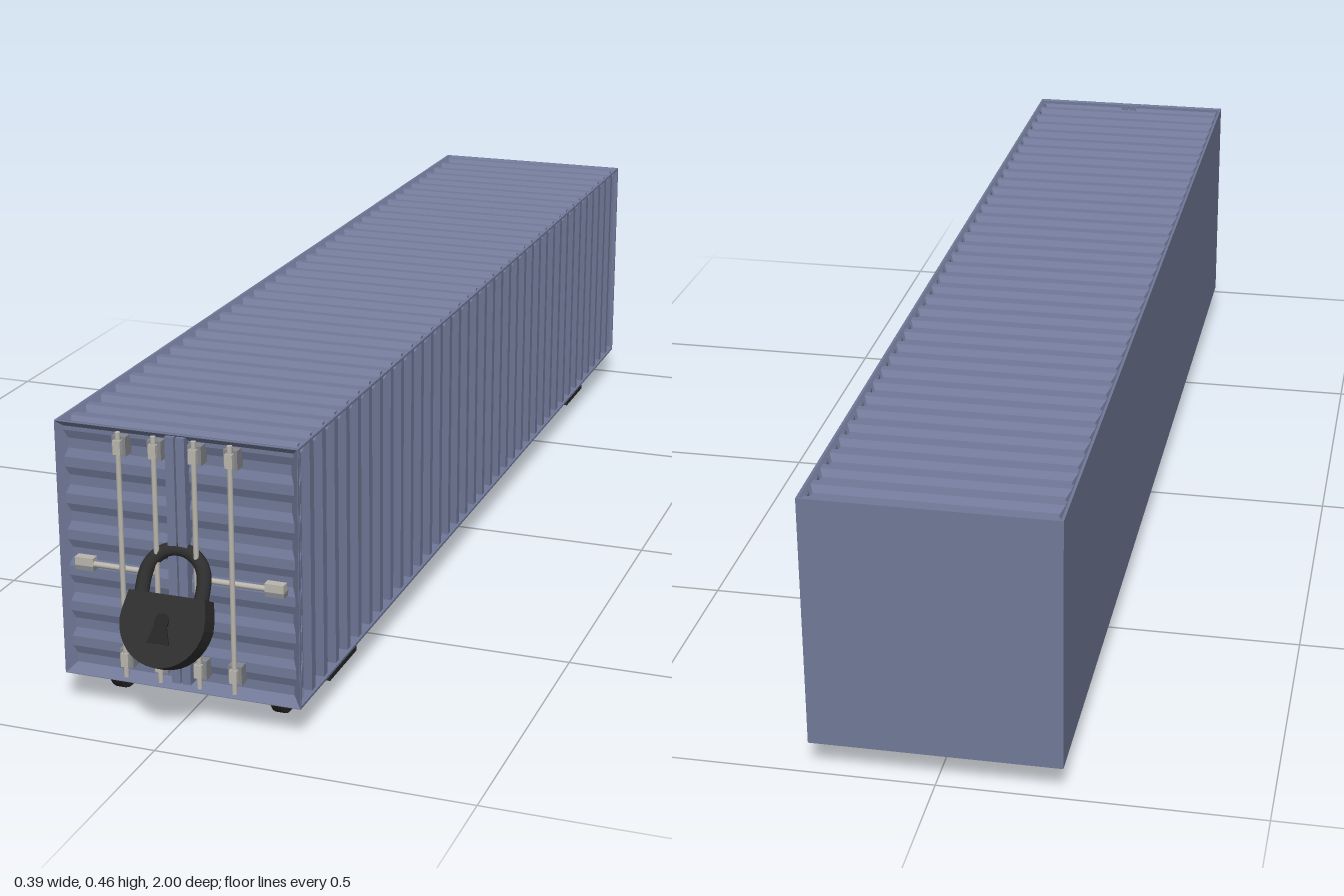
import * as THREE from 'three';

const mat = (name, color, side = THREE.FrontSide) => {
  const m = new THREE.MeshStandardMaterial({ color, side });
  m.name = name;
  return m;
};

export function createModel() {
  const root = new THREE.Group();
  root.name = 'lockedContainerWagon';
  const blue = mat('container blue', 0x717998, THREE.DoubleSide);
  const steel = mat('rod steel', 0xb9b6ae);
  const bracketGrey = mat('bracket grey', 0x85878c);
  const black = mat('undercarriage black', 0x262626);
  const lockBlack = mat('padlock black', 0x2e2e2e);

  const add = (parent, name, geo, material, x = 0, y = 0, z = 0) => {
    const m = new THREE.Mesh(geo, material);
    m.name = name;
    m.position.set(x, y, z);
    parent.add(m);
    return m;
  };
  const box = (parent, name, material, x0, x1, y0, y1, z0, z1) =>
    add(parent, name, new THREE.BoxGeometry(x1 - x0, y1 - y0, z1 - z0), material,
      (x0 + x1) / 2, (y0 + y1) / 2, (z0 + z1) / 2);

  // Container extents
  const X = 0.194, Y0 = 0.052, Y1 = 0.463, Z0 = -1, Z1 = 0.9;
  const H = Y1 - Y0, L = Z1 - Z0, YM = (Y0 + Y1) / 2, ZM = (Z0 + Z1) / 2;

  // Rectangular lip that slopes inwards to a recess, facing +z
  function frameGeometry(w, h, lip, bevel, depth) {
    const loop = (inset, z) => [[-1, -1], [1, -1], [1, 1], [-1, 1]]
      .map(([sx, sy]) => [sx * (w / 2 - inset), sy * (h / 2 - inset), z]);
    const loops = [loop(0, 0), loop(lip, 0), loop(lip + bevel, -depth)];
    const pos = [];
    for (let i = 0; i < 2; i++) {
      for (let k = 0; k < 4; k++) {
        const a = loops[i][k], b = loops[i][(k + 1) % 4];
        const c = loops[i + 1][(k + 1) % 4], d = loops[i + 1][k];
        pos.push(...a, ...b, ...c, ...a, ...c, ...d);
      }
    }
    const g = new THREE.BufferGeometry();
    g.setAttribute('position', new THREE.Float32BufferAttribute(pos, 3));
    g.computeVertexNormals();
    return g;
  }

  // Sheet with trapezoid waves running up local y
  function waveGeometry(w, h, n, crest, trough) {
    const g = new THREE.PlaneGeometry(w, h, 1, 4 * n);
    const p = g.attributes.position, steps = [0, 0.27, 0.5, 0.77];
    for (let i = 0; i < p.count; i++) {
      const row = Math.floor(i / 2), k = row % 4;
      p.setY(i, h / 2 - (Math.floor(row / 4) + steps[k]) * h / n);
      p.setZ(i, k < 2 ? -crest : -trough);
    }
    const flat = g.toNonIndexed();
    flat.computeVertexNormals();
    return flat;
  }

  // Recessed, corrugated face of the container
  function corrugatedFace(name, w, h, n, lip, bevel, depth, crest) {
    const g = new THREE.Group();
    g.name = name;
    add(g, name + 'Frame', frameGeometry(w, h, lip, bevel, depth), blue);
    add(g, name + 'Sheet', waveGeometry(w - 2 * lip, h - 2 * lip, n, crest, depth), blue);
    root.add(g);
    return g;
  }

  const roof = corrugatedFace('roof', 2 * X, L, 37, 0.004, 0.009, 0.012, 0.004);
  roof.rotation.x = -Math.PI / 2;
  roof.position.set(0, Y1, ZM);

  const side = corrugatedFace('corrugatedSide', H, L, 37, 0.004, 0.008, 0.012, 0.003);
  side.quaternion.setFromRotationMatrix(new THREE.Matrix4().makeBasis(
    new THREE.Vector3(0, 1, 0), new THREE.Vector3(0, 0, 1), new THREE.Vector3(1, 0, 0)));
  side.position.set(X, YM, ZM);

  const doors = corrugatedFace('doors', 2 * X, H, 7, 0.001, 0.014, 0.014, 0.009);
  doors.position.set(0, YM, Z1);

  // Plain faces
  add(root, 'plainSide', new THREE.PlaneGeometry(L, H), blue, -X, YM, ZM).rotation.y = -Math.PI / 2;
  add(root, 'backWall', new THREE.PlaneGeometry(2 * X, H), blue, 0, YM, Z0).rotation.y = Math.PI;
  add(root, 'floor', new THREE.PlaneGeometry(2 * X, L), blue, 0, Y0, ZM).rotation.x = Math.PI / 2;

  // Door hardware, mirrored about the seam
  const C = 0.003;
  for (const s of [-1, 1]) {
    const cx = C + s * 0.0085;
    box(root, 'doorPost', blue, cx - 0.007, cx + 0.007, 0.066, 0.46, 0.886, 0.905);
    for (const d of [0.032, 0.089]) {
      const x = C + s * d;
      add(root, 'lockingRod', new THREE.CylinderGeometry(0.0042, 0.0042, 0.394, 10), steel, x, 0.263, 0.909);
      for (const y of [0.095, 0.437]) {
        box(root, 'rodBracket', bracketGrey, x - 0.011, x + 0.011, y - 0.015, y + 0.015, 0.886, 0.907);
        box(root, 'rodClamp', steel, x - 0.006, x + 0.006, y - 0.011, y + 0.011, 0.903, 0.915);
      }
    }
    add(root, 'handleBar', new THREE.CylinderGeometry(0.0045, 0.0045, 0.11, 10), steel,
      C + s * 0.088, 0.241, 0.902).rotation.z = Math.PI / 2;
    box(root, 'handleGrip', steel, C + s * 0.154 - 0.015, C + s * 0.154 + 0.015, 0.238, 0.251, 0.893, 0.907);
    box(root, 'handleCatch', bracketGrey, C + s * 0.154 - 0.015, C + s * 0.154 + 0.015, 0.23, 0.238, 0.886, 0.906);
  }

  // Padlock hanging at a slant
  const lock = new THREE.Group();
  lock.name = 'padlock';
  lock.position.set(C, 0.23, 0.947);
  lock.rotation.x = -0.49;
  root.add(lock);

  const body = new THREE.Shape();
  body.moveTo(-0.061, 0);
  body.lineTo(-0.067, -0.03);
  body.lineTo(-0.068, -0.045);
  body.bezierCurveTo(-0.064, -0.082, -0.036, -0.108, 0, -0.109);
  body.bezierCurveTo(0.036, -0.108, 0.064, -0.082, 0.068, -0.045);
  body.lineTo(0.067, -0.03);
  body.lineTo(0.061, 0);
  add(lock, 'lockBody', new THREE.ExtrudeGeometry(body, { depth: 0.038, bevelEnabled: false, curveSegments: 8 }),
    lockBlack, 0, 0, -0.038);

  const keyhole = new THREE.Shape();
  keyhole.moveTo(-0.018, -0.074);
  keyhole.lineTo(0.018, -0.074);
  keyhole.lineTo(0.009, -0.046);
  keyhole.absarc(0, -0.04, 0.0115, -0.55, Math.PI + 0.55, false);
  add(lock, 'keyhole', new THREE.ExtrudeGeometry(keyhole, { depth: 0.003, bevelEnabled: false, curveSegments: 8 }), black);

  const arch = [new THREE.Vector3(-0.048, -0.01, 0)];
  for (let i = 0; i <= 10; i++) {
    const a = Math.PI * (1 - i / 10);
    arch.push(new THREE.Vector3(0.048 * Math.cos(a), 0.022 + 0.048 * Math.sin(a), 0));
  }
  arch.push(new THREE.Vector3(0.048, -0.01, 0));
  add(lock, 'shackle', new THREE.TubeGeometry(new THREE.CatmullRomCurve3(arch), 28, 0.011, 10),
    lockBlack, 0, 0, -0.019);

  // Two bogies
  for (const z of [0.677, -0.733]) {
    const bogie = new THREE.Group();
    bogie.name = 'bogie';
    bogie.position.z = z;
    root.add(bogie);
    box(bogie, 'bolster', black, -0.179, 0.179, 0.023, 0.053, -0.06, 0.06);
    for (const s of [-1, 1]) {
      box(bogie, 'sideRail', black, s * 0.098 - 0.009, s * 0.098 + 0.009, 0.035, 0.053, -0.135, 0.135);
      for (const e of [-1, 1]) {
        add(bogie, 'wheel', new THREE.CylinderGeometry(0.05, 0.05, 0.016, 24), black,
          s * 0.134, 0.05, e * 0.131).rotation.z = Math.PI / 2;
        add(bogie, 'axle', new THREE.CylinderGeometry(0.011, 0.011, 0.05, 10), black,
          s * 0.11, 0.044, e * 0.131).rotation.z = Math.PI / 2;
      }
    }
  }
  return root;
}
